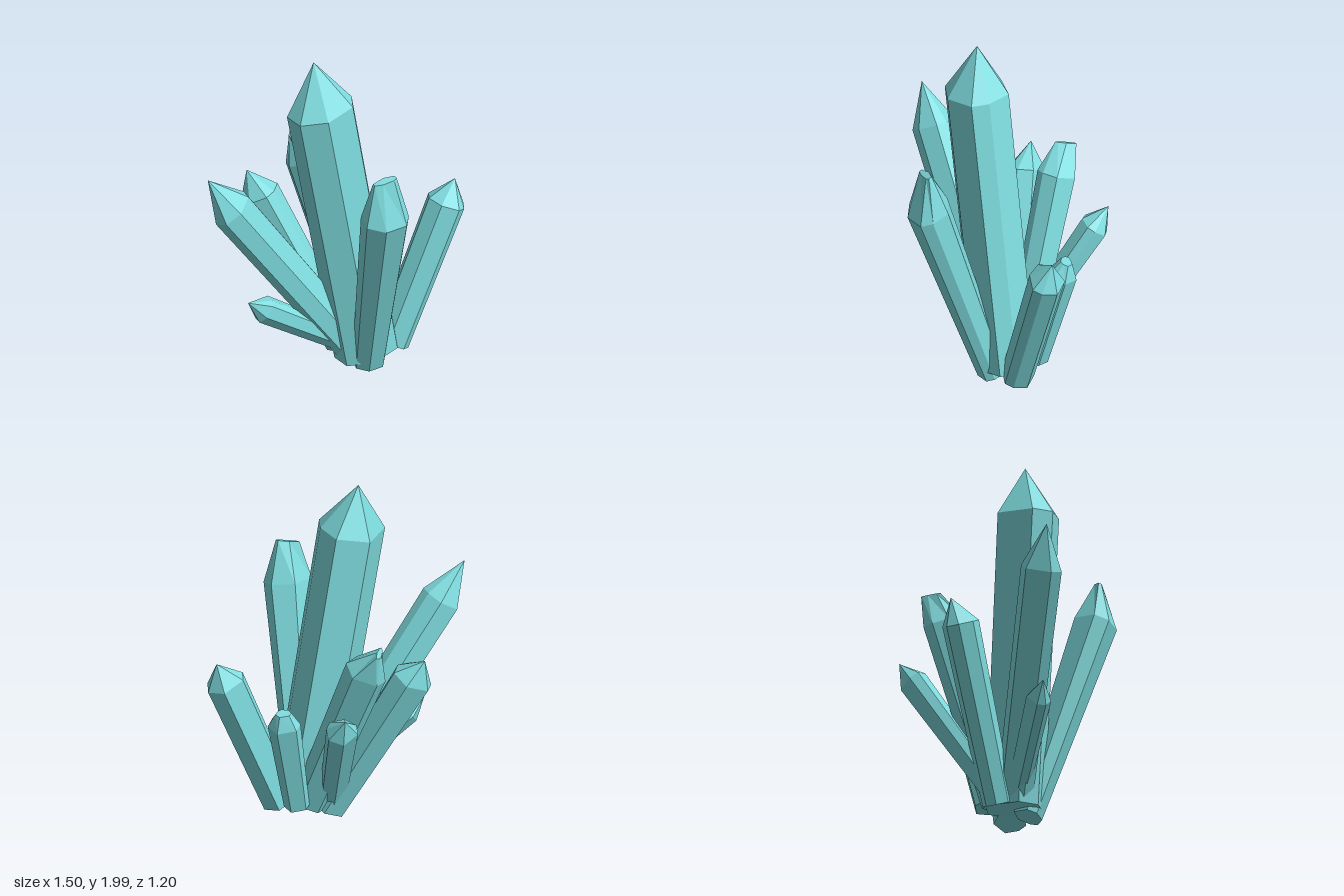
import * as THREE from 'three';

// Uneven seven-sided cross-section: [degrees around the axis, share of the radius]
const SECTION = [[-110, 0.93], [-49, 1], [-3, 0.97], [28, 1], [87, 0.9], [137, 1.02], [174, 1]];

// base, shoulder: centres of the prism ends; tip: apex; r0, r1: radii;
// turn: rotation of the cross-section; ridge: optional half-vector of a blunt tip of radius flat
const CRYSTALS = [
  { name: 'mainCrystal', base: [0.175, 0.07, 0.035], shoulder: [-0.10, 1.72, 0.10], tip: [-0.13, 2.0, 0.085], r0: 0.184, r1: 0.192, turn: 0 },
  { name: 'leftSideTallCrystal', base: [0.10, 0.10, 0.035], shoulder: [-0.62, 1.17, 0.157], tip: [-0.75, 1.38, 0.18], r0: 0.108, r1: 0.122, turn: -20 },
  { name: 'frontCrystal', base: [0.173, 0.03, 0.112], shoulder: [0.18, 1.20, 0.485], tip: [0.175, 1.44, 0.50], r0: 0.09, r1: 0.135, turn: 12, ridge: [0.045, 0.015, 0], flat: 0.025 },
  { name: 'rightSideCrystal', base: [0.33, 0.08, 0.018], shoulder: [0.65, 0.91, -0.035], tip: [0.70, 1.04, -0.05], r0: 0.1, r1: 0.11, turn: 35 },
  { name: 'smallBackCrystal', base: [0.265, 0.12, -0.12], shoulder: [0.362, 0.715, -0.235], tip: [0.37, 0.8, -0.255], r0: 0.07, r1: 0.09, turn: 60, ridge: [0.01, 0, 0], flat: 0.035 },
  { name: 'lowBackCrystal', base: [0.05, 0.10, -0.06], shoulder: [0.10, 0.80, -0.52], tip: [0.10, 0.91, -0.60], r0: 0.075, r1: 0.09, turn: 25 },
  { name: 'tallBackCrystal', base: [0.18, 0.10, -0.06], shoulder: [-0.07, 1.08, -0.37], tip: [-0.13, 1.225, -0.44], r0: 0.095, r1: 0.118, turn: 75, ridge: [0.02, 0, -0.045], flat: 0.015 },
  { name: 'backCornerCrystal', base: [0.07, 0.055, -0.063], shoulder: [-0.35, 0.95, -0.285], tip: [-0.41, 1.08, -0.335], r0: 0.095, r1: 0.114, turn: 50 },
  { name: 'smallSideCrystal', base: [0.08, 0.13, 0.05], shoulder: [-0.425, 0.475, 0.15], tip: [-0.52, 0.54, 0.17], r0: 0.067, r1: 0.077, turn: 10 },
];

const vec = (a) => new THREE.Vector3(...a);

function crystalGeometry({ base, shoulder, tip, r0, r1, turn, ridge, flat }) {
  const [b, s, t] = [base, shoulder, tip].map(vec);
  const axis = s.clone().sub(b).normalize();
  const tilt = new THREE.Quaternion().setFromUnitVectors(new THREE.Vector3(0, 1, 0), axis);

  const ring = (center, radius, spread) => SECTION.map(([deg, share]) => {
    const a = THREE.MathUtils.degToRad(deg + turn);
    const radial = new THREE.Vector3(Math.cos(a), 0, Math.sin(a)).applyQuaternion(tilt);
    const p = center.clone().addScaledVector(radial, radius * share);
    // A blunt tip is stretched along its ridge
    if (spread) p.addScaledVector(spread, radial.dot(spread.clone().normalize()));
    return p;
  });

  const rings = [ring(b, r0), ring(s, r1)];
  if (ridge) rings.push(ring(t, flat, vec(ridge)));
  const positions = [];
  const tri = (...points) => points.forEach((p) => positions.push(p.x, p.y, p.z));
  const n = SECTION.length;
  const top = rings[rings.length - 1];

  for (let i = 0; i < n; i++) {
    const j = (i + 1) % n;
    tri(b, rings[0][i], rings[0][j]); // base cap
    for (let k = 0; k < rings.length - 1; k++) { // side facets
      const [lo, hi] = [rings[k], rings[k + 1]];
      tri(lo[i], hi[i], hi[j]);
      tri(lo[i], hi[j], lo[j]);
    }
    tri(top[i], t, top[j]); // point, or cap of a blunt tip
  }

  const geometry = new THREE.BufferGeometry();
  geometry.setAttribute('position', new THREE.Float32BufferAttribute(positions, 3));
  geometry.computeVertexNormals();
  return geometry;
}

export function createModel() {
  const group = new THREE.Group();
  group.name = 'crystalCluster';
  const material = new THREE.MeshStandardMaterial({ color: 0x7fdde0, flatShading: true });
  for (const spec of CRYSTALS) {
    const mesh = new THREE.Mesh(crystalGeometry(spec), material);
    mesh.name = spec.name;
    group.add(mesh);
  }
  return group;
}
